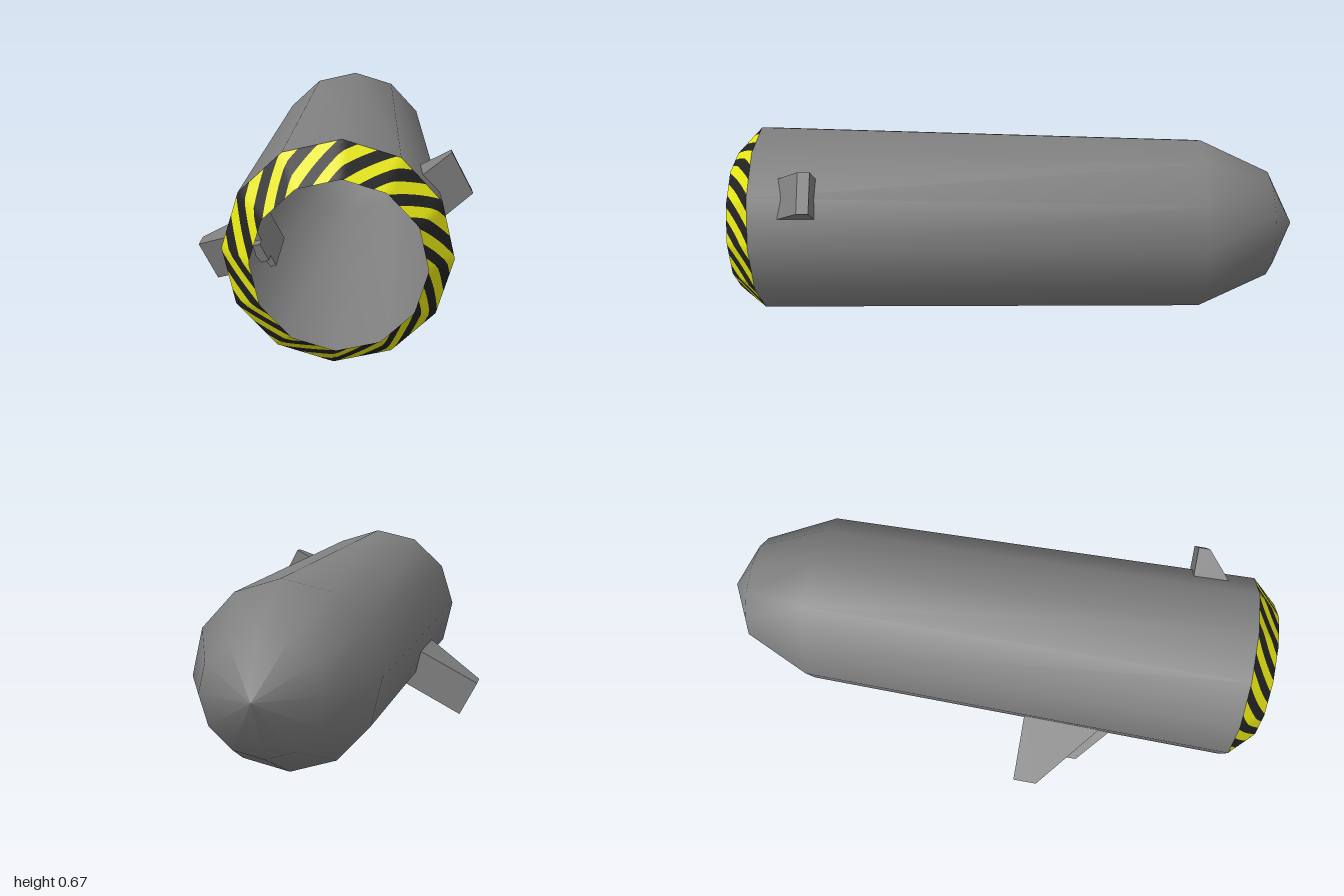
import * as THREE from 'three';

const RAD = Math.PI / 180;
const SIDES = 12;
const TWIST = -2; // degrees the twelve-sided section is turned

// Indexed surface from a grid of points; wrap joins the last column to the first
function gridSurface(rows, cols, point, wrap) {
  const pos = [], index = [];
  for (let i = 0; i <= rows; i++)
    for (let j = 0; j < (wrap ? cols : cols + 1); j++) pos.push(...point(j / cols, i / rows, i));
  const n = wrap ? cols : cols + 1;
  for (let i = 0; i < rows; i++)
    for (let j = 0; j < cols; j++) {
      const k = (j + 1) % n;
      const a = i * n + j, b = i * n + k, c = a + n, d = b + n;
      index.push(a, b, c, b, d, c);
    }
  const g = new THREE.BufferGeometry();
  g.setAttribute('position', new THREE.Float32BufferAttribute(pos, 3));
  g.setIndex(index);
  g.computeVertexNormals();
  return g;
}

// Radius of a regular polygon of unit circumradius at an angle in degrees
function polygonRadius(deg) {
  const step = 360 / SIDES;
  const local = (((deg - TWIST) % step) + step) % step - step / 2;
  return Math.cos(step / 2 * RAD) / Math.cos(local * RAD);
}

// Fin with an outline in (radius, z), extruded across its width
function fin(name, outline, width, material) {
  const shape = new THREE.Shape(outline.map(p => new THREE.Vector2(...p)));
  const g = new THREE.ExtrudeGeometry(shape, { depth: width, bevelEnabled: false });
  g.rotateX(Math.PI / 2);
  g.translate(0, width / 2, 0);
  const mesh = new THREE.Mesh(g, material);
  mesh.name = name;
  return mesh;
}

export function createModel() {
  const mat = (name, color) => Object.assign(new THREE.MeshStandardMaterial({ color }), { name });
  const grey = mat('hull grey', 0x808080);
  const finGrey = grey;
  const yellow = mat('warning yellow', 0xe6e614);
  const black = mat('warning black', 0x222222);
  for (const m of [grey, yellow, black]) m.side = THREE.DoubleSide;

  const model = new THREE.Group();
  model.name = 'hollowCapsule';

  // Open hull with a faceted nose: z, centre x, centre y, radius
  const stations = [
    [-1, 0.06, 0.308, 0.0005],
    [-0.9, 0.06, 0.31, 0.193],
    [-0.65, 0.06, 0.313, 0.308],
    [0.91, 0.06, 0.337, 0.333],
  ];
  const hull = new THREE.Mesh(gridSurface(stations.length - 1, SIDES, (u, v, i) => {
    const [z, cx, cy, r] = stations[i];
    const a = (u * 360 + TWIST) * RAD;
    return [cx + r * Math.cos(a), cy + r * Math.sin(a), z];
  }, true), grey);
  hull.name = 'hull';
  model.add(hull);

  // Chamfered mouth rim, made of slanting warning stripes
  const rim = new THREE.Group();
  rim.name = 'stripedRim';
  const STRIPES = 36, SWEEP = 27, SPAN = 360 / STRIPES;
  for (let s = 0; s < STRIPES; s++) {
    const g = gridSurface(8, 5, (u, v) => {
      const deg = 160 + (s + u) * SPAN + SWEEP * v;
      const r = THREE.MathUtils.lerp(0.333, 0.25, v) * polygonRadius(deg);
      return [
        0.06 + 0.006 * v + r * Math.cos(deg * RAD),
        0.337 - 0.009 * v + r * Math.sin(deg * RAD),
        0.91 + 0.09 * v,
      ];
    }, false);
    const stripe = new THREE.Mesh(g, s % 2 ? yellow : black);
    stripe.name = s % 2 ? 'yellowStripe' : 'blackStripe';
    rim.add(stripe);
  }
  model.add(rim);

  // Opposed fins on one tilted axis
  const fins = new THREE.Group();
  fins.name = 'fins';
  fins.position.set(0.06, 0.338, 0);
  fins.rotation.z = 28 * RAD;
  const right = new THREE.Group();
  right.name = 'rightFin';
  right.rotation.z = Math.PI;
  right.add(
    fin('mainFin', [[0.29, 0.17], [0.5525, 0.17], [0.5525, 0.255], [0.29, 0.465]], 0.14, finGrey),
    fin('finBrace', [[0.29, 0.3], [0.442, 0.3], [0.442, 0.386], [0.29, 0.515]], 0.063, finGrey),
  );
  fins.add(
    right,
    fin('leftFin', [[0.3, 0.685], [0.411, 0.685], [0.411, 0.725], [0.3, 0.82]], 0.14, finGrey),
  );
  model.add(fins);
  return model;
}
